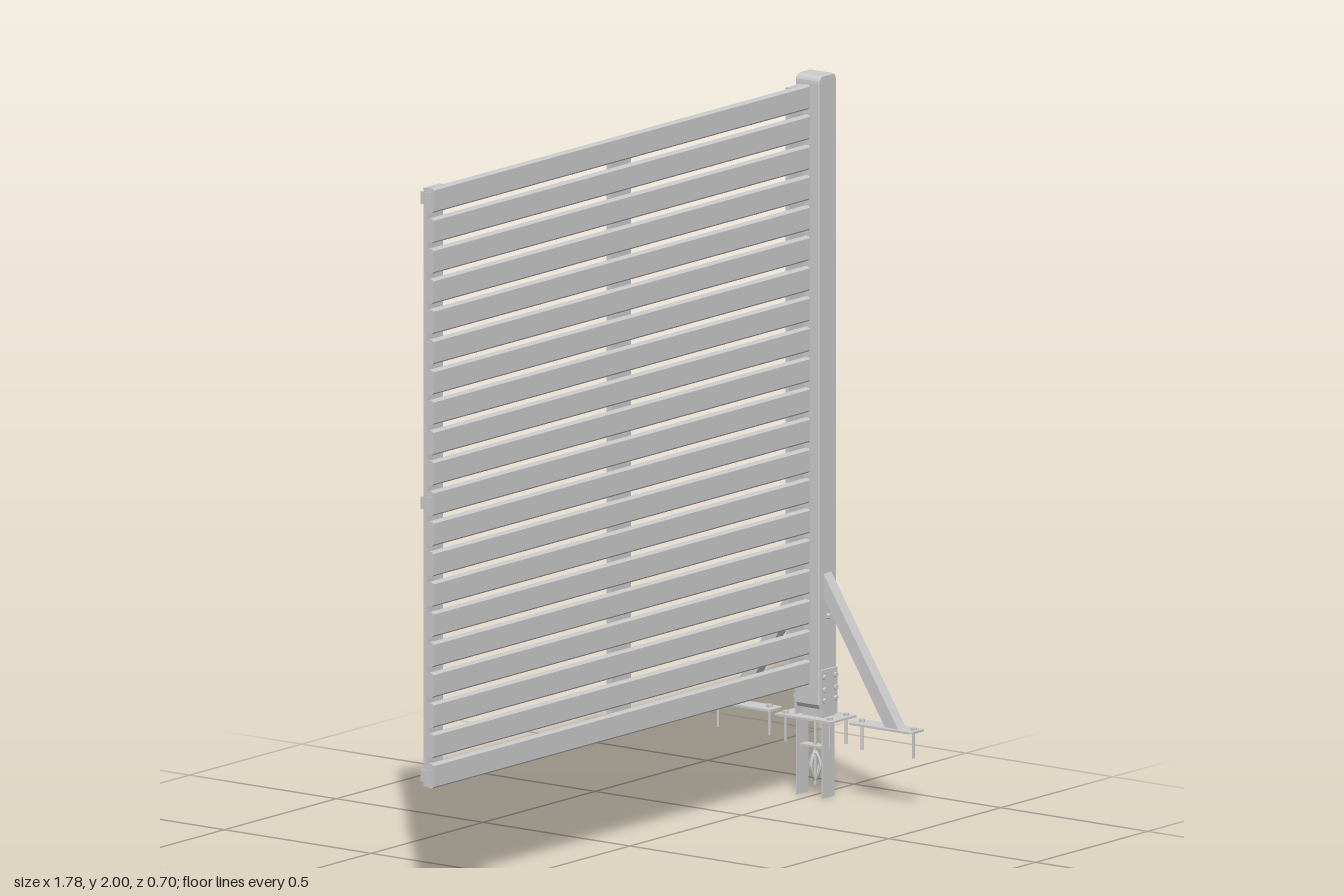
import * as THREE from 'three';

const mat = new THREE.MeshStandardMaterial({ color: 0xcccccc, flatShading: true });
const POST_X = 0.83;

export function createModel() {
  const root = new THREE.Group();

  const add = (name, geo, x, y, z, parent = root) => {
    const m = new THREE.Mesh(geo, mat);
    m.name = name;
    m.position.set(x, y, z);
    parent.add(m);
    return m;
  };
  // box given by its limits on each axis
  const box = (name, x0, x1, y0, y1, z0, z1, parent) =>
    add(name, new THREE.BoxGeometry(x1 - x0, y1 - y0, z1 - z0),
      (x0 + x1) / 2, (y0 + y1) / 2, (z0 + z1) / 2, parent);
  // cylinder lying along a chosen axis
  const rod = (name, r, len, axis, x, y, z, sides = 12) => {
    const m = add(name, new THREE.CylinderGeometry(r, r, len, sides), x, y, z);
    if (axis === 'x') m.rotation.z = Math.PI / 2;
    if (axis === 'z') m.rotation.x = Math.PI / 2;
    return m;
  };
  // outline in the zy plane, extruded along x and centred on cx
  const sideExtrude = (name, points, width, cx) => {
    const geo = new THREE.ExtrudeGeometry(
      new THREE.Shape(points.map(([z, y]) => new THREE.Vector2(-z, y))),
      { depth: width, bevelEnabled: false });
    geo.translate(0, 0, -width / 2);
    geo.rotateY(Math.PI / 2);
    return add(name, geo, cx, 0, 0);
  };

  // horizontal slats with chamfered long edges
  const h = 0.034, t = 0.01, c = 0.005;
  const slatOutline = [[-t, -h + c], [-t + c, -h], [t - c, -h], [t, -h + c],
    [t, h - c], [t - c, h], [-t + c, h], [-t, h - c]];
  for (let i = 0; i < 20; i++) {
    sideExtrude('slat', slatOutline, 1.682, -0.049).position.y = 0.346 + i * 0.0839;
  }

  // battens behind the slats
  box('middleBatten', -0.07, 0.018, 0.325, 1.965, -0.026, -0.01);
  box('outerBatten', -0.89, -0.82, 0.315, 1.973, -0.024, -0.01);
  box('innerBatten', 0.725, 0.79, 0.315, 1.973, -0.024, -0.01);

  // fixing clips at both ends of the panel
  for (const [x, s] of [[-0.89, 1], [0.79, -1]]) {
    for (const y of [0.345, 1.1, 1.945]) {
      box('clipPlate', Math.min(x, x + s * 0.045), Math.max(x, x + s * 0.045),
        y - 0.017, y + 0.017, -0.031, -0.024);
      box('clipReturn', x - 0.003, x + 0.003, y - 0.017, y + 0.017, -0.031, 0.006);
      rod('clipScrew', 0.008, 0.005, 'z', x + s * 0.025, y, -0.033);
    }
  }

  // square post, top rounded over across its width
  const w = 0.04, y0 = 0.247, y1 = 2, r = 0.022;
  const post = new THREE.Shape();
  post.moveTo(-w + 0.008, y0);
  post.lineTo(w - 0.008, y0);
  post.lineTo(w, y0 + 0.012);
  post.lineTo(w, y1 - r);
  post.quadraticCurveTo(w, y1, w - r, y1);
  post.lineTo(-w + r, y1);
  post.quadraticCurveTo(-w, y1, -w, y1 - r);
  post.lineTo(-w, y0 + 0.012);
  post.closePath();
  const postGeo = new THREE.ExtrudeGeometry(post, {
    depth: 0.074, curveSegments: 5, bevelSize: 0.003, bevelOffset: -0.003,
    bevelThickness: 0.003, bevelSegments: 1 });
  add('post', postGeo, POST_X, 0, -0.037);

  // ground anchor: base plate, socket and bolts
  box('basePlate', 0.772, 0.886, 0.217, 0.223, -0.095, 0.095);
  box('socket', 0.805, 0.855, 0.223, 0.25, -0.03, 0.03);
  const bolt = (x, z) => {
    rod('groundBolt', 0.004, 0.075, 'y', x, 0.182, z, 8);
    rod('boltHead', 0.009, 0.007, 'y', x, 0.2265, z, 6);
  };
  for (const sx of [-1, 1]) for (const sz of [-1, 1]) bolt(0.829 + sx * 0.037, sz * 0.075);

  // side plate on the outer face of the post
  box('outerBracket', 0.87, 0.876, 0.25, 0.355, -0.034, 0.034);
  for (const [y, z] of [[0.34, 0.018], [0.31, 0], [0.34, -0.018], [0.275, 0.018], [0.275, -0.018]]) {
    rod('bracketBolt', 0.008, 0.009, 'x', 0.88, y, z, 6);
  }

  // front and back: stakes, bracket plates, braces and feet
  for (const s of [-1, 1]) {
    box('stake', 0.801, 0.852, 0, 0.25, s * 0.044 - 0.002, s * 0.044 + 0.002);
    box('bracketPlate', 0.795, 0.865, 0.225, 0.355, s * 0.043 - 0.003, s * 0.043 + 0.003);
    for (const y of [0.27, 0.3, 0.335]) for (const sx of [-1, 1]) {
      rod('bracketBolt', 0.007, 0.008, 'z', POST_X + sx * 0.025, y, s * 0.049, 6);
    }
    const brace = [[0.04, 0.555], [0.25, 0.22], [0.295, 0.22], [0.04, 0.62]];
    sideExtrude('brace', brace.map(([z, y]) => [s * z, y]), 0.035, 0.829);
    rod('braceBolt', 0.008, 0.012, 'z', POST_X, 0.5, s * 0.045, 6);

    // foot plate with rounded corners
    const foot = new THREE.Shape();
    const a = 0.03, b = 0.107, q = 0.01;
    foot.moveTo(-a + q, -b);
    foot.lineTo(a - q, -b);
    foot.quadraticCurveTo(a, -b, a, -b + q);
    foot.lineTo(a, b - q);
    foot.quadraticCurveTo(a, b, a - q, b);
    foot.lineTo(-a + q, b);
    foot.quadraticCurveTo(-a, b, -a, b - q);
    foot.lineTo(-a, -b + q);
    foot.quadraticCurveTo(-a, -b, -a + q, -b);
    const footGeo = new THREE.ExtrudeGeometry(foot, { depth: 0.006, bevelEnabled: false, curveSegments: 4 });
    footGeo.rotateX(-Math.PI / 2);
    add('footPlate', footGeo, 0.829, 0.216, s * 0.241);
    bolt(0.829, s * 0.333);
    bolt(0.829, s * 0.158);
  }

  // threaded rod, cross bar and looped anchor between the stakes
  rod('anchorRod', 0.005, 0.21, 'y', 0.827, 0.135, 0, 8);
  box('crossBar', 0.812, 0.842, 0.134, 0.14, -0.043, 0.043);
  for (let i = 0; i < 4; i++) {
    const path = new THREE.CatmullRomCurve3([[0, 0.125], [0.012, 0.105], [0.018, 0.085],
      [0.012, 0.062], [0, 0.04]].map(([d, y]) => new THREE.Vector3(0, y, d)));
    const loop = add('anchorLoop', new THREE.TubeGeometry(path, 12, 0.004, 6), 0.827, 0, 0);
    loop.rotation.y = i * Math.PI / 2;
  }
  return root;
}
